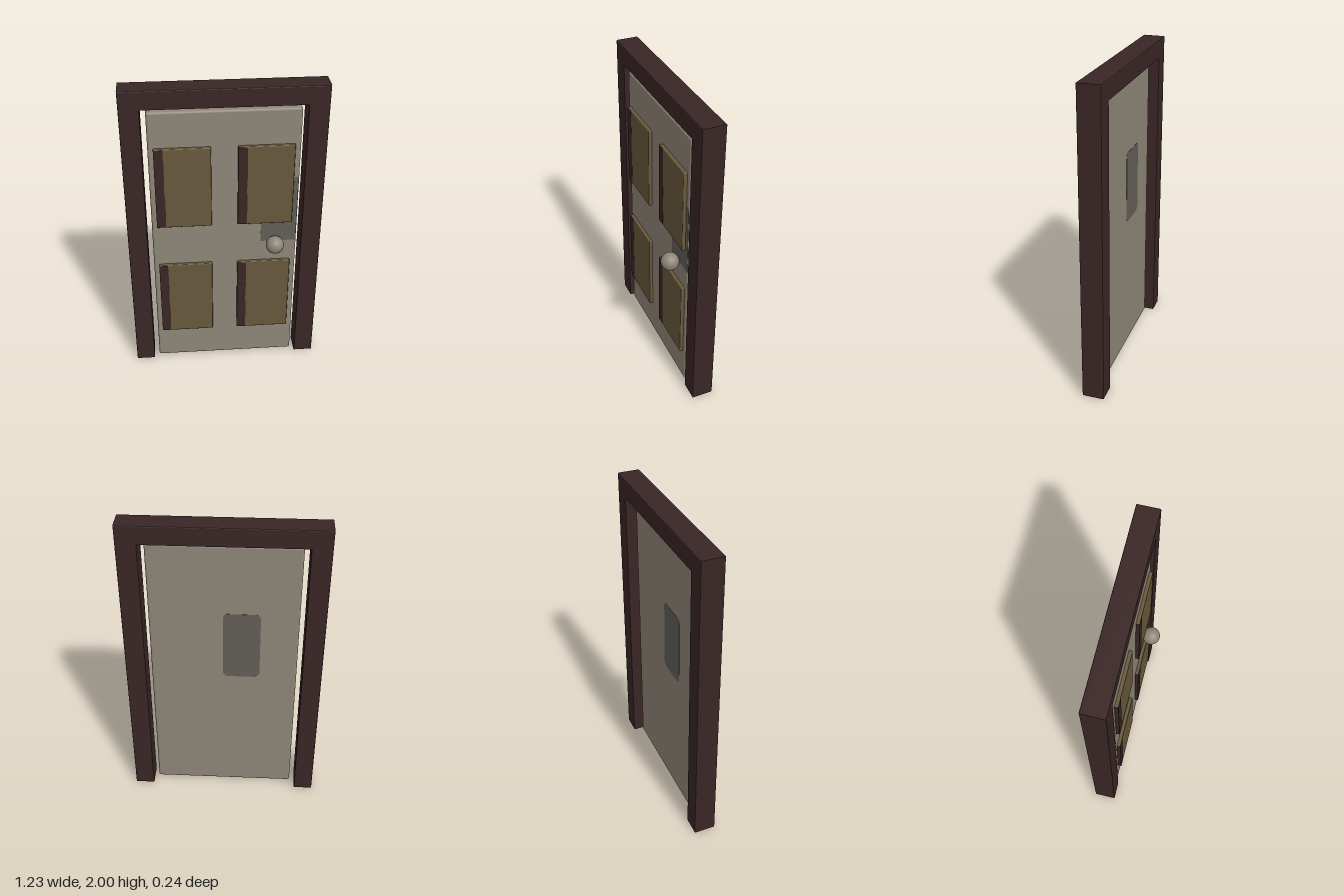
import * as THREE from 'three';
import { RoundedBoxGeometry } from 'three/addons/geometries/RoundedBoxGeometry.js';

const mat = (name, color) => {
  const m = new THREE.MeshStandardMaterial({ color });
  m.name = name;
  return m;
};

export function createModel() {
  const darkWood = mat('dark red wood', 0x3a2626);
  const paint = mat('grey beige paint', 0x8f8678);
  const olive = mat('olive brown', 0x69593c);
  const shade = mat('worn grey', 0x635f58);

  const model = new THREE.Group();
  model.name = 'door';
  const add = (name, geometry, material, x = 0, y = 0, z = 0) => {
    const mesh = new THREE.Mesh(geometry, material);
    mesh.name = name;
    mesh.position.set(x, y, z);
    model.add(mesh);
    return mesh;
  };
  const outline = (points) => new THREE.Shape(points.map(([x, y]) => new THREE.Vector2(x, y)));

  // Door frame: one bevelled arch of two jambs and a lintel
  const bevel = 0.006;
  const arch = outline([
    [-0.615, 0], [-0.493, 0], [-0.493, 1.88], [0.49, 1.88],
    [0.49, 0], [0.615, 0], [0.615, 2], [-0.615, 2],
  ]);
  add('frame', new THREE.ExtrudeGeometry(arch, {
    depth: 0.142 - 2 * bevel, bevelEnabled: true, bevelSegments: 2,
    bevelSize: bevel, bevelThickness: bevel, bevelOffset: -bevel,
  }), darkWood, 0, 0, -0.12 + bevel);

  // Door leaf, set inside the frame
  const front = 0.008, back = -0.065;
  add('leaf', new RoundedBoxGeometry(0.92, 1.845, front - back, 3, 0.015), paint,
    0, 0.9375, (front + back) / 2);

  // Four raised panels, each with a dark band along its left side
  const pw = 0.343, ph = 0.545;
  const bandPoints = [[-pw / 2 - 0.001, -ph / 2 + 0.004], [-pw / 2 + 0.055, -ph / 2 + 0.004]];
  for (const t of [0.18, 0.2, 0.36, 0.38, 0.46, 0.54, 0.68, 0.7, 0.84, 0.86]) {
    const wave = 0.055 + 0.003 * Math.sin(t * 40);
    bandPoints.push([-pw / 2 + wave, -ph / 2 + t * ph]);
  }
  bandPoints.push([-pw / 2 + 0.055, ph / 2 - 0.004], [-pw / 2 - 0.001, ph / 2 - 0.004]);
  const bandGeo = new THREE.ExtrudeGeometry(outline(bandPoints), { depth: 0.025, bevelEnabled: false });
  const panelGeo = new RoundedBoxGeometry(pw, ph, 0.03, 2, 0.006);
  for (const x of [-0.255, 0.252]) {
    for (const y of [0.522, 1.358]) {
      add('panel', panelGeo, olive, x, y, 0.015);
      add('panelBand', bandGeo, darkWood, x, y, 0.006);
    }
  }

  // Worn patch behind the knob
  add('frontPatch', new THREE.BoxGeometry(0.226, 0.46, 0.002), shade, 0.343, 1.17, front + 0.0005);

  // Worn patch with soft corners on the back
  const w = 0.115, h = 0.235, c = 0.022;
  const patch = outline([
    [-w + c, -h], [w - c, -h], [w, -h + c], [w, h - c],
    [w - c, h], [-w + c, h], [-w, h - c], [-w, -h + c],
  ]);
  add('backPatch', new THREE.ExtrudeGeometry(patch, { depth: 0.002, bevelEnabled: false }), shade,
    -0.11, 1.165, back - 0.0015);

  // Round knob
  add('knob', new THREE.SphereGeometry(0.058, 16, 12), paint, 0.316, 0.94, 0.06);

  return model;
}
